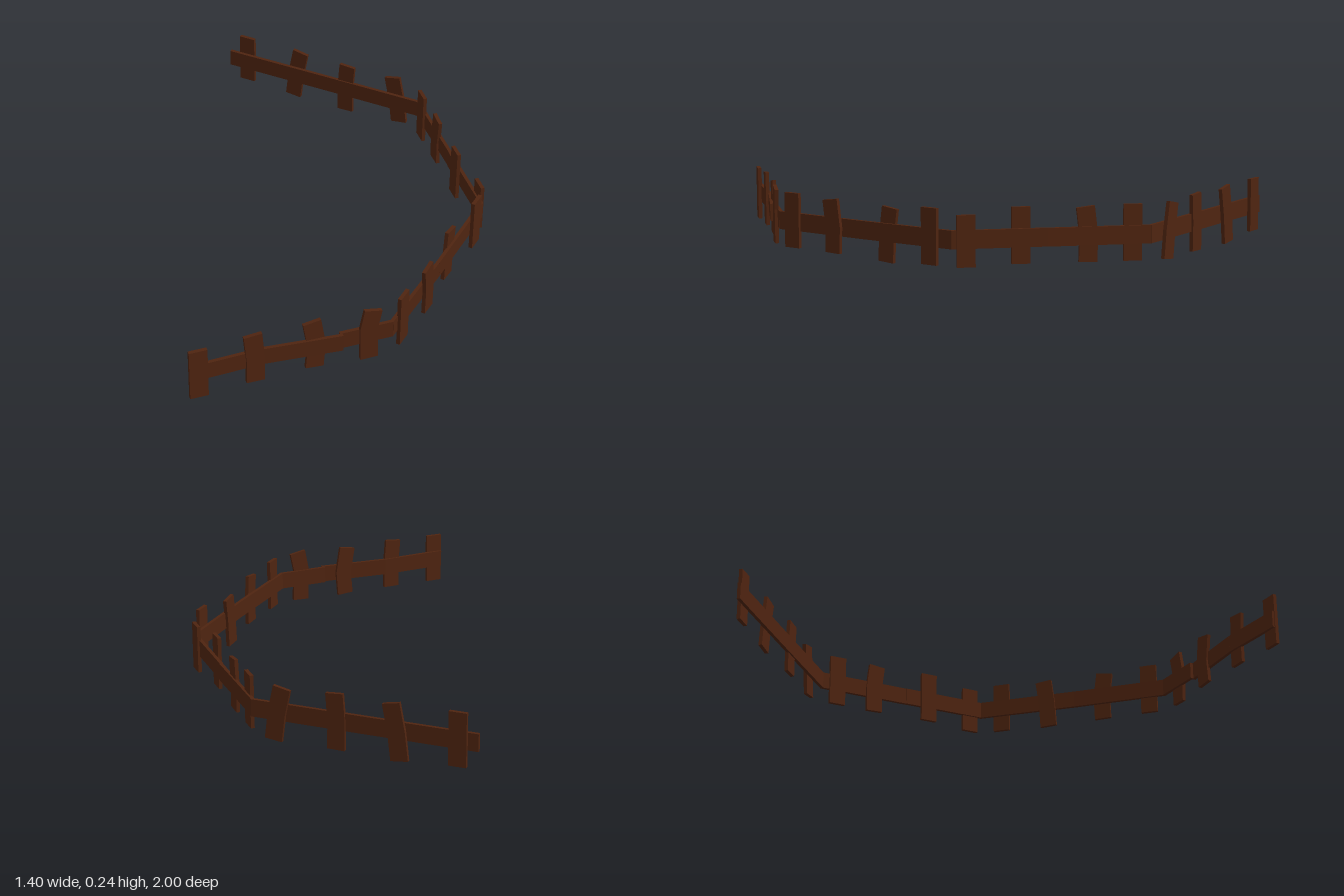
import * as THREE from 'three';

const WIDTH = 0.07, THICK = 0.015;

export function createModel() {
  const model = new THREE.Group();
  model.name = 'brokenFence';
  const wood = new THREE.MeshStandardMaterial({ color: 0x4f2410 });
  wood.name = 'dark brown wood';

  // Upright plank with a slight bend: cross-sections are [shift, height] from bottom to top
  function plank(x, z, angle, sections) {
    const left = [], right = [];
    sections.forEach(([s, y], i) => {
      const a = sections[Math.max(i - 1, 0)], b = sections[Math.min(i + 1, 2)];
      const lean = Math.atan2(b[0] - a[0], b[1] - a[1]);
      const dx = WIDTH / 2 * Math.cos(lean), dy = WIDTH / 2 * Math.sin(lean);
      left.push(new THREE.Vector2(s - dx, y + dy));
      right.push(new THREE.Vector2(s + dx, y - dy));
    });
    const shape = new THREE.Shape([...right, ...left.reverse()]);
    const geo = new THREE.ExtrudeGeometry(shape, { depth: THICK, bevelEnabled: false });
    geo.translate(0, 0, -THICK / 2);
    const mesh = new THREE.Mesh(geo, wood);
    mesh.name = 'plank';
    mesh.position.set(x, 0, z);
    mesh.rotation.y = angle;
    model.add(mesh);
  }

  // Horizontal rail between two ground points
  function rail([x0, z0], [x1, z1]) {
    const dx = x1 - x0, dz = z1 - z0;
    const mesh = new THREE.Mesh(new THREE.BoxGeometry(Math.hypot(dx, dz) + 0.004, 0.07, 0.014), wood);
    mesh.name = 'rail';
    mesh.position.set((x0 + x1) / 2, 0.125, (z0 + z1) / 2);
    mesh.rotation.y = Math.atan2(-dz, dx);
    model.add(mesh);
  }

  // Each side: rail runs, and planks as [x, z, bottom shift, middle shift, top shift, bottom y, top y, bend y]
  const sides = [
    {
      rails: [[[-0.70, 0.98], [-0.42, 0.965], [-0.12, 0.984]], [[-0.125, 0.97], [0.08, 0.965]]],
      planks: [
        [-0.67, 0.99, 0, 0, 0, 0.02, 0.235],
        [-0.455, 0.976, 0.003, 0.004, -0.006, 0.025, 0.242],
        [-0.222, 0.967, -0.001, 0.007, -0.012, 0.025, 0.238],
        [-0.013, 0.978, 0, -0.004, 0.012, 0.022, 0.243, 0.16],
      ],
    },
    {
      rails: [[[0.08, 0.965], [0.37, 0.69], [0.67, 0.39]]],
      planks: [
        [0.138, 0.925, 0, 0, 0, 0.025, 0.24],
        [0.29, 0.787, 0.002, 0.005, -0.009, 0.025, 0.232],
        [0.45, 0.595, -0.01, -0.003, 0.01, 0.01, 0.22],
        [0.615, 0.465, 0, 0, 0, 0.025, 0.24],
      ],
    },
    {
      rails: [[[0.67, 0.39], [0.68, 0.03]], [[0.682, 0.03], [0.69, -0.36]]],
      planks: [
        [0.68, 0.34, 0, 0, 0, 0.022, 0.218],
        [0.663, 0.13, 0, 0, 0, 0.025, 0.24],
        [0.678, -0.12, 0.003, 0.006, -0.007, 0.025, 0.235],
        [0.68, -0.295, 0, 0, 0, 0.025, 0.24],
      ],
    },
    {
      rails: [[[0.692, -0.36], [0.37, -0.68], [0.05, -1 + 0.005]]],
      planks: [
        [0.625, -0.455, -0.017, -0.003, 0.02, 0.018, 0.232],
        [0.452, -0.608, 0.002, 0.004, -0.004, 0.012, 0.237],
        [0.285, -0.785, 0.015, 0.002, -0.019, 0.01, 0.236],
        [0.113, -0.953, 0, 0, 0, 0.025, 0.24],
      ],
    },
  ];

  for (const { rails, planks } of sides) {
    for (const run of rails)
      for (let i = 1; i < run.length; i++) rail(run[i - 1], run[i]);
    const a = rails[0][0], b = rails.at(-1).at(-1);
    const angle = Math.atan2(a[1] - b[1], b[0] - a[0]);
    for (const [x, z, s0, s1, s2, y0, y2, y1 = 0.125] of planks)
      plank(x, z, angle, [[s0, y0], [s1, y1], [s2, y2]]);
  }
  return model;
}
